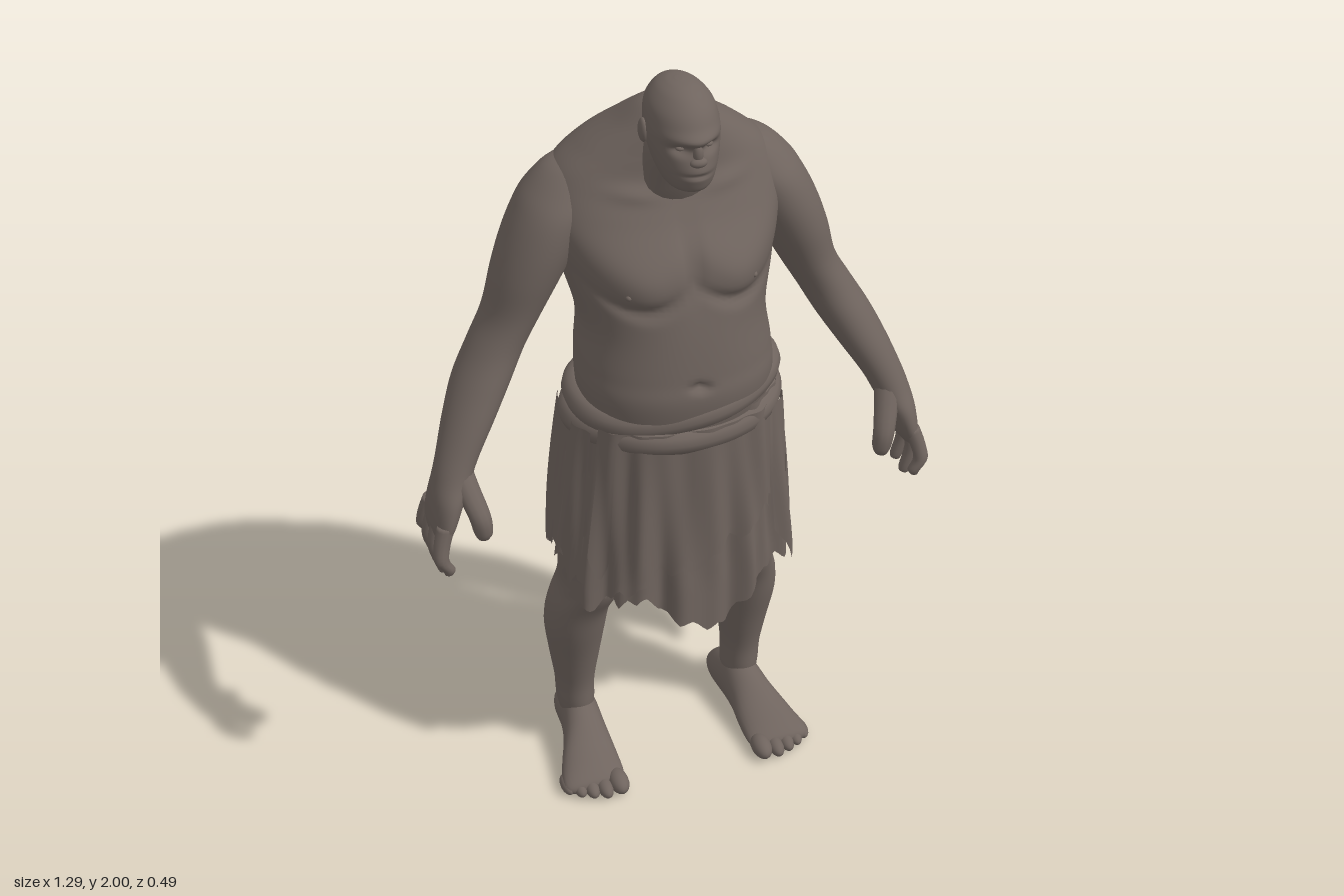
import * as THREE from 'three';

const X = new THREE.Vector3(1, 0, 0), Y = new THREE.Vector3(0, 1, 0), Z = new THREE.Vector3(0, 0, 1);
const skin = new THREE.MeshStandardMaterial({ color: 0x6f645e });
skin.name = 'brownGrey';
const cloth = new THREE.MeshStandardMaterial({ color: 0x6f645e, side: THREE.DoubleSide });
cloth.name = 'clothBrownGrey';

const gauss = (d, s) => Math.exp(-(d * d) / (s * s));
const catmull = (a, b, c, d, t) => 0.5 * (2 * b + (c - a) * t + (2 * a - 5 * b + 4 * c - d) * t * t + (3 * b - a - 3 * c + d) * t * t * t);

// Smooth closed body through rows of [x, y, z, radiusU, radiusV]
function loft(name, rows, { u = X, v = Z, sides = 28, steps = 5, power = 1, deform } = {}) {
  const pos = [], idx = [], n = rows.length, rings = [];
  for (let i = 0; i < n - 1; i++)
    for (let s = 0; s < steps; s++)
      rings.push(rows[i].map((_, k) => catmull(rows[Math.max(i - 1, 0)][k], rows[i][k], rows[i + 1][k], rows[Math.min(i + 2, n - 1)][k], s / steps)));
  rings.push(rows[n - 1]);
  const bend = (c) => Math.sign(c) * Math.abs(c) ** power;
  const add = (p) => { if (deform) deform(p); pos.push(p.x, p.y, p.z); };
  for (const r of rings)
    for (let j = 0; j < sides; j++) {
      const a = (j / sides) * Math.PI * 2;
      add(new THREE.Vector3(r[0], r[1], r[2]).addScaledVector(u, bend(Math.cos(a)) * r[3]).addScaledVector(v, bend(Math.sin(a)) * r[4]));
    }
  const first = new THREE.Vector3(...rows[0].slice(0, 3)), last = new THREE.Vector3(...rows[n - 1].slice(0, 3));
  const flip = new THREE.Vector3().crossVectors(u, v).dot(last.clone().sub(first)) < 0;
  const face = (a, b, c) => (flip ? idx.push(a, c, b) : idx.push(a, b, c));
  const m = rings.length, p0 = m * sides, p1 = p0 + 1;
  add(first); add(last);
  for (let j = 0; j < sides; j++) {
    const k = (j + 1) % sides;
    for (let i = 0; i < m - 1; i++) {
      const a = i * sides + j, b = i * sides + k;
      face(a, b, b + sides);
      face(a, b + sides, a + sides);
    }
    face(p0, k, j);
    face(p1, (m - 1) * sides + j, (m - 1) * sides + k);
  }
  return finish(name, pos, idx, skin);
}

function finish(name, pos, idx, material) {
  const g = new THREE.BufferGeometry();
  g.setAttribute('position', new THREE.Float32BufferAttribute(pos, 3));
  g.setIndex(idx);
  g.computeVertexNormals();
  const mesh = new THREE.Mesh(g, material);
  mesh.name = name;
  return mesh;
}

function blob(name, x, y, z, rx, ry, rz) {
  const mesh = new THREE.Mesh(new THREE.SphereGeometry(1, 16, 12), skin);
  mesh.name = name;
  mesh.position.set(x, y, z);
  mesh.scale.set(rx, ry, rz);
  return mesh;
}

// Finger: tapered body through a few points with a round tip
function finger(name, pts, r) {
  const rows = pts.map((p, i) => [...p, r * (1 - 0.1 * i), r * (1 - 0.1 * i)]);
  const [x, y, z] = pts[pts.length - 1];
  rows.push([x, y - r * 0.6, z, r * 0.45, r * 0.45]);
  return loft(name, rows, { sides: 12, steps: 4 });
}

// Hanging cloth around the hips, from angle a0 to a1 (0 = front, + = model's left)
function drape(name, a0, a1, top, hem, lift, fold) {
  const pos = [], idx = [], nA = Math.ceil((a1 - a0) * 34), nY = 18;
  for (let j = 0; j <= nA; j++) {
    const a = a0 + ((a1 - a0) * j) / nA, low = hem(a);
    for (let i = 0; i <= nY; i++) {
      const y = top + ((low - top) * i) / nY, t = Math.min(1, (1.16 - y) / 0.5);
      const f = lift + fold * (0.3 + t) * (Math.sin(a * 13 + 2 * t) + 0.6 * Math.sin(a * 23 + 1 - 3 * t));
      const bow = (c) => Math.sign(c) * Math.abs(c) ** 0.85;
      pos.push((0.25 + 0.045 * t + f) * bow(Math.sin(a)), y, 0.022 - 0.024 * t + (0.2 + 0.022 * t + f) * bow(Math.cos(a)));
    }
  }
  for (let j = 0; j < nA; j++)
    for (let i = 0; i < nY; i++) {
      const a = j * (nY + 1) + i, b = a + nY + 1;
      idx.push(a, a + 1, b, b, a + 1, b + 1);
    }
  return finish(name, pos, idx, cloth);
}

// Rolled cloth loop round the waist
function roll(name, y, tilt, out, radius, phase) {
  const pts = [];
  for (let i = 0; i < 32; i++) {
    const a = (i / 32) * Math.PI * 2, w = out + 0.003 * Math.sin(a * 5 + phase);
    pts.push(new THREE.Vector3((0.24 + w) * Math.sin(a), y + tilt * Math.sin(a) + 0.005 * Math.sin(a * 3 + phase), 0.022 + (0.19 + w) * Math.cos(a)));
  }
  const mesh = new THREE.Mesh(new THREE.TubeGeometry(new THREE.CatmullRomCurve3(pts, true), 96, radius, 12, true), cloth);
  mesh.name = name;
  return mesh;
}

function shapeTorso(p) {
  const ax = Math.abs(p.x);
  if (p.z > 0.03) {
    const crease = 1.47 + 4 * (ax - 0.12) ** 2;
    p.z += 0.022 * gauss(ax - 0.12, 0.09) * gauss(p.y - crease - 0.06, 0.06); // chest muscles
    p.z -= 0.016 * gauss(p.y - crease + 0.01, 0.018) * gauss(ax - 0.12, 0.1);
    p.z -= 0.012 * gauss(p.x, 0.018) * gauss(p.y - 1.57, 0.08);
    p.z -= 0.02 * gauss(p.x, 0.018) * gauss(p.y - 1.26, 0.012); // navel
    p.z += 0.008 * gauss(ax - 0.11, 0.06) * gauss(p.y - 1.71 - 0.1 * ax, 0.018); // collarbones
  } else if (p.z < -0.08) {
    p.z += 0.022 * gauss(p.x, 0.03) * gauss(p.y - 1.45, 0.24); // spine
    p.z -= 0.014 * gauss(ax - 0.15, 0.07) * gauss(p.y - 1.6, 0.1); // shoulder blades
  }
}

function shapeFace(p) {
  if (p.z < 0.12) return;
  const ax = Math.abs(p.x);
  p.z += 0.012 * gauss(p.y - 1.905, 0.014) * gauss(ax, 0.06); // brow
  p.z -= 0.018 * gauss(p.y - 1.881, 0.013) * gauss(ax - 0.034, 0.022); // eye sockets
  p.z += 0.007 * gauss(p.y - 1.825, 0.025) * gauss(ax, 0.04); // muzzle
  p.z -= 0.01 * gauss(p.y - 1.818, 0.005) * gauss(ax, 0.032); // mouth
}

export function createModel() {
  const model = new THREE.Group();
  model.name = 'giant';

  // Torso, neck and head
  model.add(loft('torso', [
    [0, 1.04, 0.03, 0.22, 0.18], [0, 1.2, 0.04, 0.24, 0.2], [0, 1.28, 0.03, 0.238, 0.203],
    [0, 1.38, 0.015, 0.228, 0.203], [0, 1.48, -0.01, 0.25, 0.207], [0, 1.58, -0.035, 0.275, 0.205],
    [0, 1.66, -0.058, 0.288, 0.182], [0, 1.74, -0.068, 0.262, 0.15], [0, 1.8, -0.058, 0.2, 0.13],
    [0, 1.86, -0.03, 0.125, 0.095], [0, 1.91, -0.005, 0.07, 0.055], [0, 1.93, 0.005, 0.03, 0.03],
  ], { sides: 96, steps: 9, power: 0.9, deform: shapeTorso }));
  model.add(loft('neck', [
    [0, 1.62, -0.03, 0.12, 0.09], [0, 1.69, 0.005, 0.115, 0.09], [0, 1.75, 0.035, 0.092, 0.085],
    [0, 1.83, 0.055, 0.08, 0.085], [0, 1.9, 0.06, 0.06, 0.07],
  ]));
  model.add(loft('head', [
    [0, 1.765, 0.135, 0.03, 0.045], [0, 1.78, 0.13, 0.054, 0.072], [0, 1.82, 0.112, 0.072, 0.097],
    [0, 1.87, 0.098, 0.083, 0.107], [0, 1.91, 0.088, 0.084, 0.115], [0, 1.95, 0.08, 0.076, 0.104],
    [0, 1.98, 0.075, 0.054, 0.078], [0, 1.995, 0.073, 0.03, 0.045], [0, 2, 0.073, 0.008, 0.012],
  ], { sides: 64, steps: 9, deform: shapeFace }));
  model.add(blob('noseBridge', 0, 1.873, 0.202, 0.012, 0.024, 0.012));
  model.add(blob('noseTip', 0, 1.853, 0.206, 0.021, 0.012, 0.014));

  for (const s of [-1, 1]) {
    const side = new THREE.Group();
    side.name = s > 0 ? 'leftSide' : 'rightSide';
    const m = (rows) => rows.map(([x, ...rest]) => [x * s, ...rest]);
    side.add(blob('ear', s * 0.086, 1.885, 0.075, 0.011, 0.03, 0.02));
    side.add(blob('eye', s * 0.033, 1.881, 0.174, 0.012, 0.007, 0.012));
    side.add(blob('nipple', s * 0.155, 1.505, 0.166, 0.008, 0.008, 0.01));

    // Arm and palm
    side.add(loft('arm', m([
      [0.18, 1.765, -0.075, 0.02, 0.03], [0.2, 1.75, -0.075, 0.07, 0.068], [0.238, 1.7, -0.07, 0.088, 0.096], [0.268, 1.65, -0.062, 0.091, 0.111],
      [0.3, 1.58, -0.055, 0.092, 0.112], [0.335, 1.5, -0.05, 0.085, 0.103], [0.375, 1.4, -0.05, 0.071, 0.09],
      [0.42, 1.32, -0.04, 0.07, 0.082], [0.465, 1.24, -0.02, 0.071, 0.082], [0.508, 1.16, 0.012, 0.064, 0.072],
      [0.549, 1.08, 0.045, 0.053, 0.058], [0.57, 1.03, 0.058, 0.048, 0.06], [0.588, 0.98, 0.064, 0.042, 0.075],
      [0.604, 0.92, 0.062, 0.033, 0.084], [0.612, 0.885, 0.058, 0.022, 0.076], [0.612, 0.875, 0.058, 0.01, 0.05],
    ]), { sides: 36 }));
    [[0.122, 0.145, 0.815], [0.08, 0.09, 0.785], [0.036, 0.035, 0.79], [-0.006, -0.018, 0.825]].forEach(([z0, z1, tip]) =>
      side.add(finger('finger', m([[0.606, 0.93, z0], [0.622, 0.885, (z0 + z1) / 2], [0.628, 0.845, z1], [0.612, tip, z1]]), 0.023)));
    side.add(finger('thumb', m([[0.56, 1.065, 0.065], [0.545, 1.01, 0.1], [0.527, 0.95, 0.135], [0.52, 0.905, 0.14]]), 0.034));

    // Leg, foot and toes
    side.add(loft('leg', m([
      [0.125, 1.08, 0.02, 0.1, 0.13], [0.135, 1, 0.02, 0.125, 0.15], [0.165, 0.8, 0.015, 0.118, 0.135],
      [0.192, 0.65, -0.01, 0.092, 0.112], [0.205, 0.56, -0.03, 0.079, 0.106], [0.228, 0.48, -0.045, 0.079, 0.098],
      [0.236, 0.4, -0.06, 0.078, 0.094], [0.235, 0.3, -0.073, 0.066, 0.08], [0.234, 0.2, -0.08, 0.052, 0.066],
      [0.232, 0.12, -0.082, 0.048, 0.066], [0.228, 0.05, -0.085, 0.035, 0.055],
    ]), { sides: 36, deform: (p) => { p.z += 0.014 * gauss(p.y - 0.56, 0.05) * (p.z > 0.02 ? 1 : 0); } }));
    side.add(loft('foot', m([
      [0.215, 0.04, -0.2, 0.018, 0.018], [0.218, 0.042, -0.185, 0.038, 0.036], [0.222, 0.05, -0.14, 0.052, 0.062],
      [0.228, 0.062, -0.06, 0.053, 0.08], [0.236, 0.054, 0.01, 0.06, 0.068], [0.248, 0.036, 0.08, 0.075, 0.047],
      [0.257, 0.026, 0.14, 0.083, 0.034], [0.259, 0.022, 0.17, 0.074, 0.022], [0.259, 0.022, 0.18, 0.04, 0.01],
    ]), { u: X, v: Y, deform: (p) => { p.y = Math.max(0, p.y); } }));
    [[0.2, 0.178, 0.026], [0.239, 0.183, 0.02], [0.272, 0.172, 0.019], [0.301, 0.158, 0.018], [0.328, 0.138, 0.018]].forEach(([x, z, r]) =>
      side.add(blob('toe', s * x, r, z, r, r, r + 0.02)));
    model.add(side);
  }

  // Ragged skirt with overlapping torn layers and a rolled waistband
  const tri = (a) => Math.abs(((a % 1) + 1) % 1 - 0.5) * 2;
  const rag = (a) => 0.045 * tri(a * 2.3) * tri(a * 1.1 + 0.3) + 0.025 * tri(a * 5.7 + 0.2);
  model.add(drape('skirt', -Math.PI, Math.PI, 1.16, (a) =>
    0.61 - 0.115 * gauss(a - 0.1, 0.35) + 0.07 * gauss(Math.abs(a) - 1.5, 0.35) - 0.08 * gauss(Math.abs(a) - 2.2, 0.12) + rag(a), 0.002, 0.009));
  model.add(drape('frontDrape', -1.0, 0.8, 1.14, (a) => 0.72 + 0.14 * a + rag(a + 2), 0.014, 0.009));
  model.add(drape('backDrape', 1.9, 3.7, 1.14, (a) => 0.97 - 0.16 * (a - 1.9) + rag(a), 0.016, 0.009));
  for (const [a, w, low] of [[-1.25, 0.16, 0.6], [-0.85, 0.1, 0.66], [0.95, 0.14, 0.62], [1.3, 0.12, 0.58], [1.75, 0.1, 0.68], [-1.8, 0.12, 0.66], [-2.4, 0.12, 0.53], [2.35, 0.13, 0.55]])
    model.add(drape('tornStrip', a - w, a + w, 1.12, (b) => low + 0.1 * Math.abs(b - a) / w + rag(b + 1), 0.018, 0.009));
  model.add(roll('upperRoll', 1.168, 0.022, -0.004, 0.036, 0));
  model.add(roll('lowerRoll', 1.112, 0.008, 0.001, 0.038, 4));
  return model;
}
